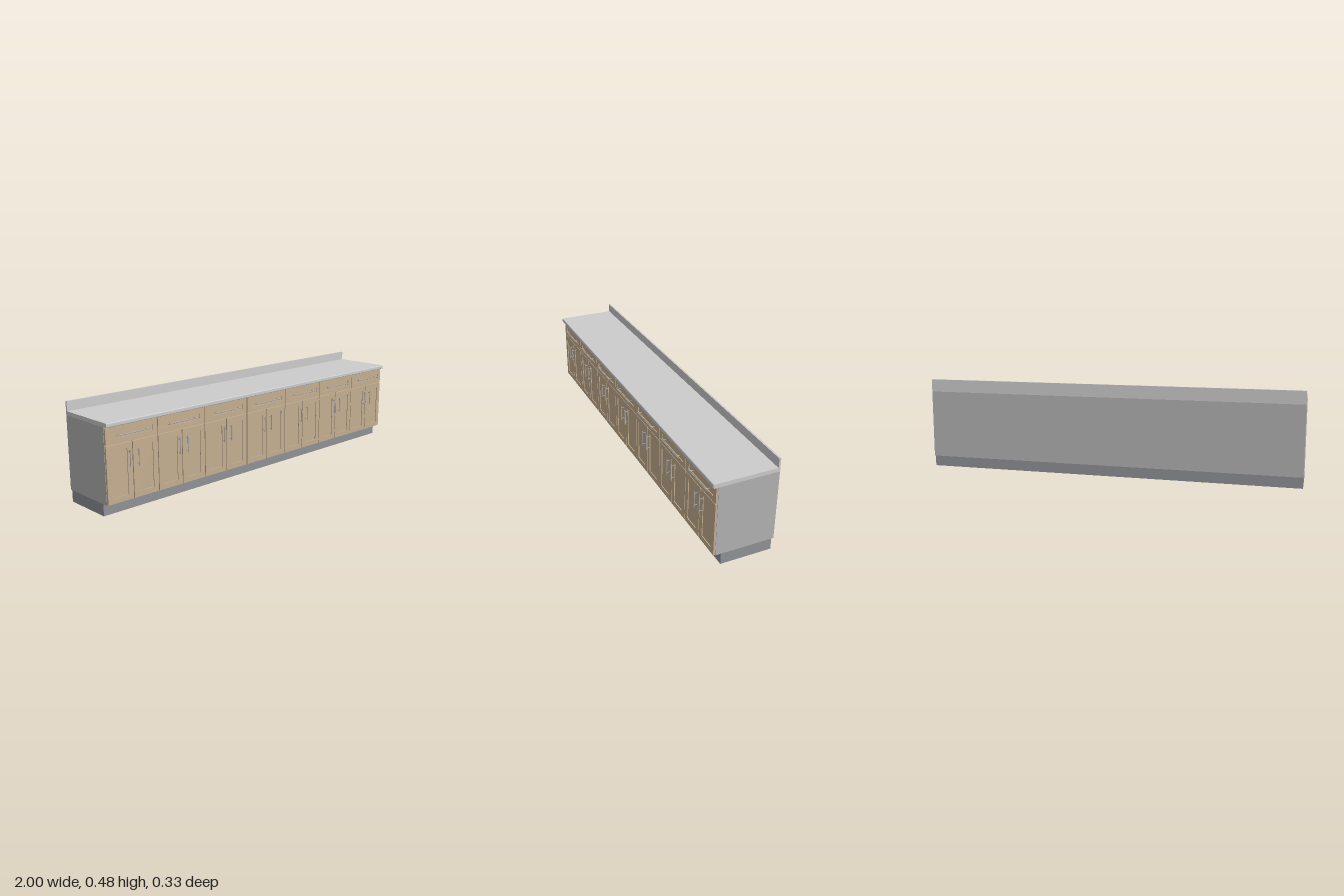
import * as THREE from 'three';

const mat = (color) => new THREE.MeshStandardMaterial({ color });
const wood = mat(0xc4ae90), carcassGrey = mat(0xb2b2b2), topGrey = mat(0xd6d6d3);
const kickGrey = mat(0x909196), metal = mat(0xa8a8a8);

const UNITS = 7, W = 2 / UNITS, FACE = 0.145;

function mesh(name, geometry, material, parent) {
  const m = new THREE.Mesh(geometry, material);
  m.name = name;
  parent.add(m);
  return m;
}

// Box given by its extents
function box(name, x0, x1, y0, y1, z0, z1, material, parent) {
  const m = mesh(name, new THREE.BoxGeometry(x1 - x0, y1 - y0, z1 - z0), material, parent);
  m.position.set((x0 + x1) / 2, (y0 + y1) / 2, (z0 + z1) / 2);
  return m;
}

// Framed front with a shallow recessed centre panel
function panelFront(name, w, h, parent) {
  const front = new THREE.Group();
  front.name = name;
  const rect = (Type, hw, hh) => new Type([
    new THREE.Vector2(-hw, -hh), new THREE.Vector2(hw, -hh),
    new THREE.Vector2(hw, hh), new THREE.Vector2(-hw, hh)]);
  const margin = 0.027, depth = 0.01;
  const shape = rect(THREE.Shape, w / 2, h / 2);
  shape.holes.push(rect(THREE.Path, w / 2 - margin, h / 2 - margin));
  mesh('frame', new THREE.ExtrudeGeometry(shape, { depth, bevelEnabled: false }), wood, front)
    .position.z = FACE - depth;
  box('recessedPanel', margin - w / 2, w / 2 - margin, margin - h / 2, h / 2 - margin,
    FACE - depth, FACE - 0.004, wood, front);
  parent.add(front);
  return front;
}

// Bar handle on two posts, running along x and centred on its own origin
function barHandle(name, length, spacing, r, parent, postBase) {
  const handle = new THREE.Group();
  handle.name = name;
  const barZ = 0.163 - r;
  const bar = mesh('bar', new THREE.CylinderGeometry(r, r, length, 12), metal, handle);
  bar.rotation.z = Math.PI / 2;
  bar.position.z = barZ;
  for (const s of [-1, 1]) {
    const post = mesh('post', new THREE.CylinderGeometry(0.0017, 0.0017, barZ - postBase, 10), metal, handle);
    post.rotation.x = Math.PI / 2;
    post.position.set(s * spacing / 2, 0, (barZ + postBase) / 2);
  }
  parent.add(handle);
  return handle;
}

export function createModel() {
  const root = new THREE.Group();
  root.name = 'baseCabinetRun';

  // Plinth and cabinet body
  box('toeKick', -1, 1, 0, 0.058, -0.152, 0.107, kickGrey, root);
  box('carcass', -1, 1, 0.058, 0.418, -0.163, 0.135, carcassGrey, root);

  // Worktop with a rounded front edge, extruded along x
  const z0 = -0.163, z1 = 0.16, y0 = 0.418, y1 = 0.438, r = 0.005;
  const profile = new THREE.Shape();
  profile.moveTo(-z0, y0);
  profile.lineTo(-z0, y1);
  profile.lineTo(-z1 + r, y1);
  profile.quadraticCurveTo(-z1, y1, -z1, y1 - r);
  profile.lineTo(-z1, y0 + r);
  profile.quadraticCurveTo(-z1, y0, -z1 + r, y0);
  profile.closePath();
  const topGeometry = new THREE.ExtrudeGeometry(profile, { depth: 2, bevelEnabled: false, curveSegments: 6 });
  topGeometry.rotateY(Math.PI / 2).translate(-1, 0, 0);
  mesh('worktop', topGeometry, topGrey, root);
  box('backsplash', -1, 1, 0.438, 0.485, -0.163, -0.154, topGrey, root);

  // Seven units, each with one drawer above a pair of doors
  const gap = 0.004;
  for (let i = 0; i < UNITS; i++) {
    const unit = new THREE.Group();
    unit.name = 'cabinetUnit';
    unit.position.x = -1 + W * (i + 0.5);
    root.add(unit);

    panelFront('drawerFront', W - gap, 0.081, unit).position.y = 0.3735;
    barHandle('drawerHandle', 0.184, 0.15, 0.0022, unit, FACE - 0.004).position.y = 0.3745;

    for (const s of [-1, 1]) {
      panelFront('door', W / 2 - gap, 0.27, unit).position.set(s * W / 4, 0.195, 0);
      const handle = barHandle('doorHandle', 0.082, 0.064, 0.0027, unit, FACE - 0.004);
      handle.rotation.z = Math.PI / 2;
      handle.position.set(s * 0.024, 0.256, 0);
    }
  }
  return root;
}
